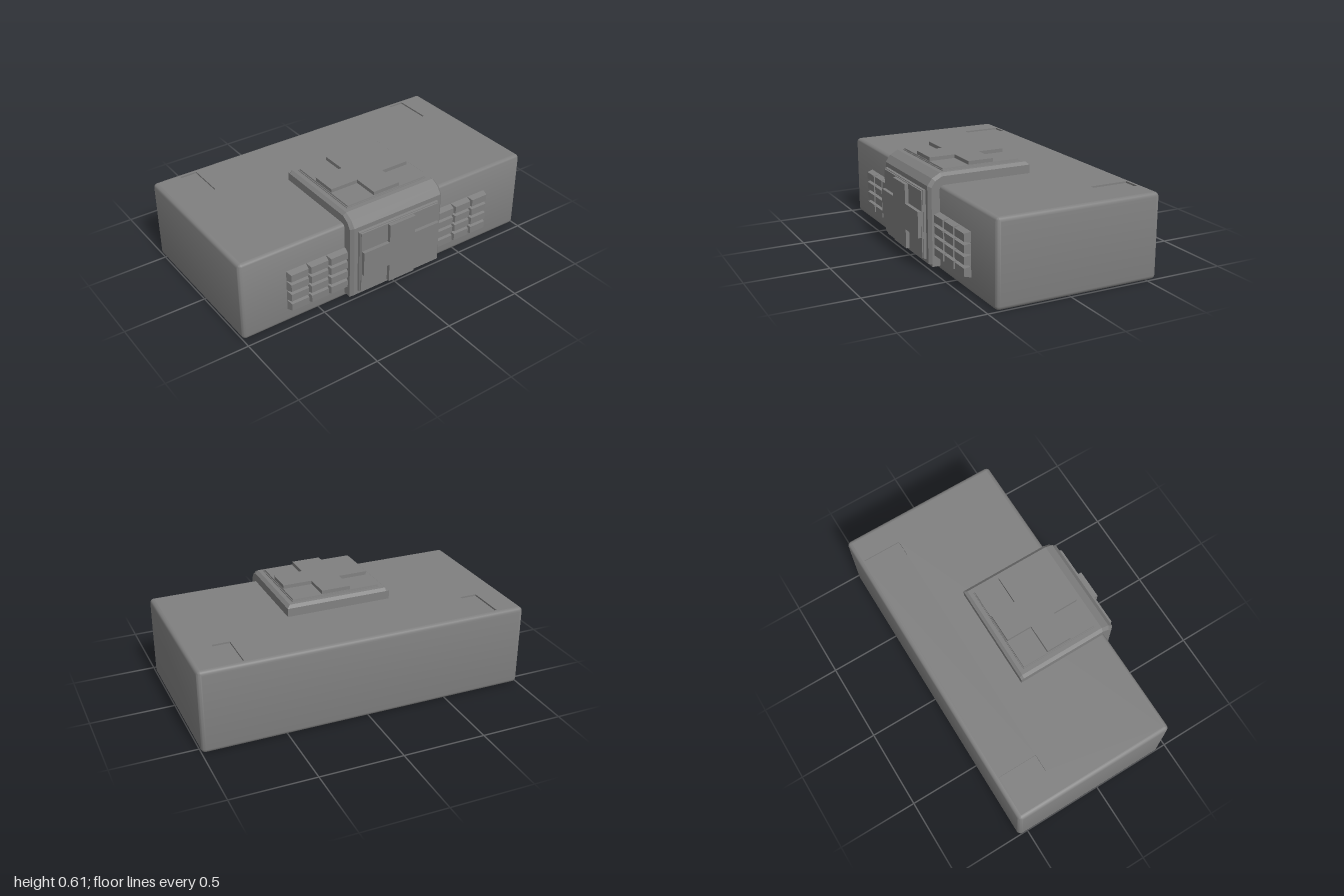
import * as THREE from 'three';
import { toCreasedNormals } from 'three/addons/utils/BufferGeometryUtils.js';

const grey = new THREE.MeshStandardMaterial({ color: 0x808080 });
const flat = new THREE.MeshStandardMaterial({ color: 0x808080, flatShading: true });

function mesh(name, geometry, material = flat) {
  const m = new THREE.Mesh(geometry, material);
  m.name = name;
  return m;
}

// Rectangle path around a centre, with optional rounded corners
function rect(Type, cx, cy, w, h, r = 0) {
  const p = new Type();
  const x = w / 2, y = h / 2;
  const corners = [[x, -y, -Math.PI / 2], [x, y, 0], [-x, y, Math.PI / 2], [-x, -y, Math.PI]];
  for (const [px, py, a] of corners) {
    const qx = cx + px - Math.sign(px) * r, qy = cy + py - Math.sign(py) * r;
    if (r) p.absarc(qx, qy, r, a, a + Math.PI / 2, false);
    else if (px > 0 && py < 0) p.moveTo(qx, qy);
    else p.lineTo(qx, qy);
  }
  p.closePath();
  return p;
}

// Box whose +z face is drawn in by an inset; its back lies on z = 0
function taperedBlock(w, h, d, inset) {
  const g = new THREE.BoxGeometry(w, h, d).translate(0, 0, d / 2);
  const p = g.attributes.position;
  for (let i = 0; i < p.count; i++) {
    if (p.getZ(i) < d / 2) continue;
    p.setX(i, p.getX(i) - Math.sign(p.getX(i)) * inset);
    p.setY(i, p.getY(i) - Math.sign(p.getY(i)) * inset);
  }
  g.computeVertexNormals();
  return g;
}

// Case with softened edges and two shallow pockets in the lid
function makeBody() {
  const group = new THREE.Group();
  group.name = 'body';
  const r = 0.025, height = 0.505, depth = 1.01, zc = -0.055;
  const shell = new THREE.ExtrudeGeometry(rect(THREE.Shape, 0, -zc, 2, depth, r + 0.001), {
    depth: height - 2 * r, bevelThickness: r, bevelSize: r, bevelOffset: -r,
    bevelSegments: 4, curveSegments: 4,
  });
  // Keep the sides only; the flat faces are added separately
  const side = shell.groups[1];
  const sides = new THREE.BufferGeometry();
  const pos = shell.attributes.position.array;
  sides.setAttribute('position', new THREE.BufferAttribute(
    pos.slice(side.start * 3, (side.start + side.count) * 3), 3));
  sides.translate(0, 0, r).rotateX(-Math.PI / 2);
  group.add(mesh('caseSides', toCreasedNormals(sides, 0.7), grey));

  const faceShape = () => rect(THREE.Shape, 0, -zc, 2 - 2 * r, depth - 2 * r);
  const base = new THREE.ShapeGeometry(faceShape()).rotateX(Math.PI / 2);
  base.translate(0, 0, 2 * zc);
  group.add(mesh('caseBase', base, grey));

  const lid = faceShape();
  const pw = 0.105, pl = 0.24, pd = 0.01, px = 0.782, pz = -0.405;
  for (const s of [-1, 1]) {
    lid.holes.push(rect(THREE.Path, s * px, -pz, pw, pl));
    const pocket = new THREE.BoxGeometry(pw, pd, pl);
    const index = [...pocket.index.array];
    index.splice(12, 6); // open top
    pocket.setIndex(index.reverse()); // faces inward
    pocket.computeVertexNormals();
    const m = mesh(s > 0 ? 'leftPocket' : 'rightPocket', pocket);
    m.position.set(s * px, height - pd / 2, pz);
    group.add(m);
  }
  const top = new THREE.ShapeGeometry(lid).rotateX(-Math.PI / 2).translate(0, height, 0);
  group.add(mesh('caseLid', top, grey));
  return group;
}

// Chamfered band folding over the front top edge
function makeClasp() {
  // Each row: root z, y (inside the case); shoulder z, y; crown z, y
  const rows = [
    [0.42, 0.03, 0.42, 0.03, 0.42, 0.03],
    [0.42, 0.03, 0.5, 0.03, 0.5, 0.03],
    [0.42, 0.045, 0.5, 0.045, 0.517, 0.045],
    [0.42, 0.47, 0.5, 0.497, 0.517, 0.505],
    [0.42, 0.47, 0.476, 0.533, 0.488, 0.546],
    [0.42, 0.47, 0.434, 0.556, 0.438, 0.573],
    [-0.11, 0.47, -0.11, 0.556, -0.11, 0.573],
    [-0.127, 0.47, -0.127, 0.556, -0.127, 0.556],
    [-0.127, 0.47, -0.127, 0.47, -0.127, 0.47],
  ];
  const wide = 0.325, narrow = 0.306;
  const points = [], index = [];
  for (const [rz, ry, sz, sy, cz, cy] of rows) {
    points.push(-wide, ry, rz, -wide, sy, sz, -narrow, cy, cz);
    points.push(narrow, cy, cz, wide, sy, sz, wide, ry, rz);
  }
  for (let i = 0; i < rows.length - 1; i++) {
    for (let j = 0; j < 5; j++) {
      const a = i * 6 + j, b = a + 6;
      index.push(a, a + 1, b + 1, a, b + 1, b);
    }
  }
  const g = new THREE.BufferGeometry();
  g.setAttribute('position', new THREE.Float32BufferAttribute(points, 3));
  g.setIndex(index);
  const flatGeometry = g.toNonIndexed();
  flatGeometry.computeVertexNormals();
  return mesh('clasp', flatGeometry);
}

// Stepped plate with a raised cross, facing +z
function makePanel(name, h, armHalf) {
  const group = new THREE.Group();
  group.name = name;
  group.add(mesh('panelRim', taperedBlock(0.565, h, 0.018, 0.003)));
  const plate = mesh('panelPlate', taperedBlock(0.55, h - 0.012, 0.012, 0.002));
  plate.position.z = 0.014;
  group.add(plate);

  const x = 0.27, y = h / 2 - 0.011, a = 0.09, b = armHalf;
  const cross = new THREE.Shape([
    [a, -y], [a, -b], [x, -b], [x, b], [a, b], [a, y],
    [-a, y], [-a, b], [-x, b], [-x, -b], [-a, -b], [-a, -y],
  ].map(([u, v]) => new THREE.Vector2(u, v)));
  const m = mesh('raisedCross', new THREE.ExtrudeGeometry(cross, { depth: 0.026, bevelEnabled: false }));
  m.position.z = 0.022;
  group.add(m);
  return group;
}

// Grid of tapered studs beside the clasp
function makeStuds(s) {
  const group = new THREE.Group();
  group.name = s > 0 ? 'leftStuds' : 'rightStuds';
  const stud = taperedBlock(0.132, 0.065, 0.045, 0.01);
  for (let col = 0; col < 3; col++) {
    for (let row = 0; row < 4; row++) {
      const m = mesh('stud', stud);
      m.position.set(s * (0.387 + col * 0.131), 0.123 + row * 0.0655, 0.444);
      group.add(m);
    }
  }
  return group;
}

export function createModel() {
  const model = new THREE.Group();
  model.name = 'medicalCase';
  model.add(makeBody(), makeClasp());

  const front = makePanel('frontPanel', 0.41, 0.078);
  front.position.set(0, 0.273, 0.514);
  const top = makePanel('topPanel', 0.5, 0.079);
  top.rotation.x = -Math.PI / 2;
  top.position.set(0, 0.56, 0.163);
  model.add(front, top, makeStuds(1), makeStuds(-1));
  return model;
}
